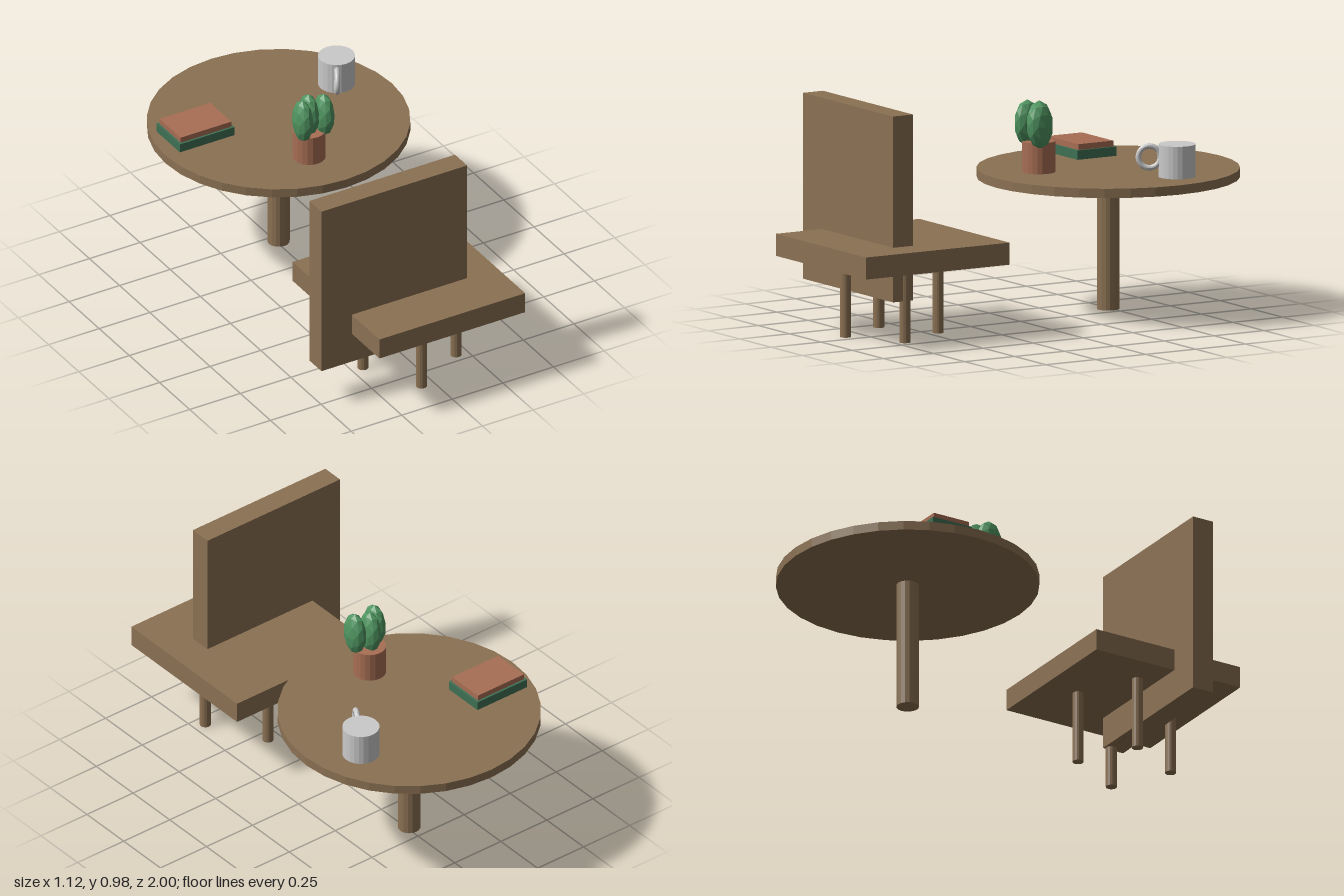
import * as THREE from 'three';

const paint = (name, color) => {
  const m = new THREE.MeshStandardMaterial({ color, flatShading: true });
  m.name = name;
  return m;
};

export function createModel() {
  const wood = paint('wood', 0x8b7153);
  const china = paint('china', 0xcacaca);
  const terracotta = paint('terracotta', 0xa86e54);
  const darkGreen = paint('dark green', 0x3f7054);
  const cactusGreen = paint('cactus green', 0x4f9460);

  const model = new THREE.Group();
  model.name = 'tableAndChair';

  const group = (name) => {
    const g = new THREE.Group();
    g.name = name;
    model.add(g);
    return g;
  };
  const add = (parent, name, geometry, material, x, y, z) => {
    const mesh = new THREE.Mesh(geometry, material);
    mesh.name = name;
    mesh.position.set(x, y, z);
    parent.add(mesh);
    return mesh;
  };
  // Solids placed by their bottom height
  const box = (p, name, mat, w, h, d, x, y, z) =>
    add(p, name, new THREE.BoxGeometry(w, h, d), mat, x, y + h / 2, z);
  const cylinder = (p, name, mat, r, h, sides, x, y, z) =>
    add(p, name, new THREE.CylinderGeometry(r, r, h, sides), mat, x, y + h / 2, z);

  // Round pedestal table
  const table = group('table');
  cylinder(table, 'tableTop', wood, 0.56, 0.04, 32, 0, 0.585, -0.44);
  cylinder(table, 'tableLeg', wood, 0.048, 0.57, 16, 0, 0.015, -0.44);

  // Chair with an offset back panel and a twisted square of legs
  const chair = group('chair');
  box(chair, 'seat', wood, 0.72, 0.095, 0.72, 0, 0.32, 0.64);
  box(chair, 'chairBack', wood, 0.72, 0.8, 0.1, -0.15, 0.18, 0.72);
  for (let i = 0; i < 4; i++) {
    const a = 0.285 + (i * Math.PI) / 2;
    cylinder(chair, 'chairLeg', wood, 0.024, 0.32, 16,
      0.204 * Math.cos(a), 0, 0.645 + 0.204 * Math.sin(a));
  }

  // Mug with a ring handle
  const mug = group('mug');
  cylinder(mug, 'mugBody', china, 0.079, 0.14, 24, 0.358, 0.625, -0.56);
  const handle = add(mug, 'mugHandle', new THREE.TorusGeometry(0.047, 0.012, 12, 32),
    china, 0.3, 0.71, -0.458);
  handle.rotation.y = Math.PI / 3;

  // Stack of two books
  const books = group('books');
  box(books, 'lowerBook', darkGreen, 0.27, 0.04, 0.195, -0.36, 0.625, -0.525);
  box(books, 'upperBook', terracotta, 0.25, 0.025, 0.175, -0.36, 0.665, -0.525);

  // Potted cactus with three lobes
  const plant = group('pottedCactus');
  cylinder(plant, 'pot', terracotta, 0.071, 0.133, 20, -0.042, 0.628, -0.117);
  for (const [x, z] of [[-0.09, -0.09], [-0.042, -0.12], [0.015, -0.09]]) {
    const lobe = add(plant, 'cactusLobe', new THREE.IcosahedronGeometry(1, 1),
      cactusGreen, x, 0.835, z);
    lobe.scale.set(0.04, 0.1, 0.061);
  }

  return model;
}
